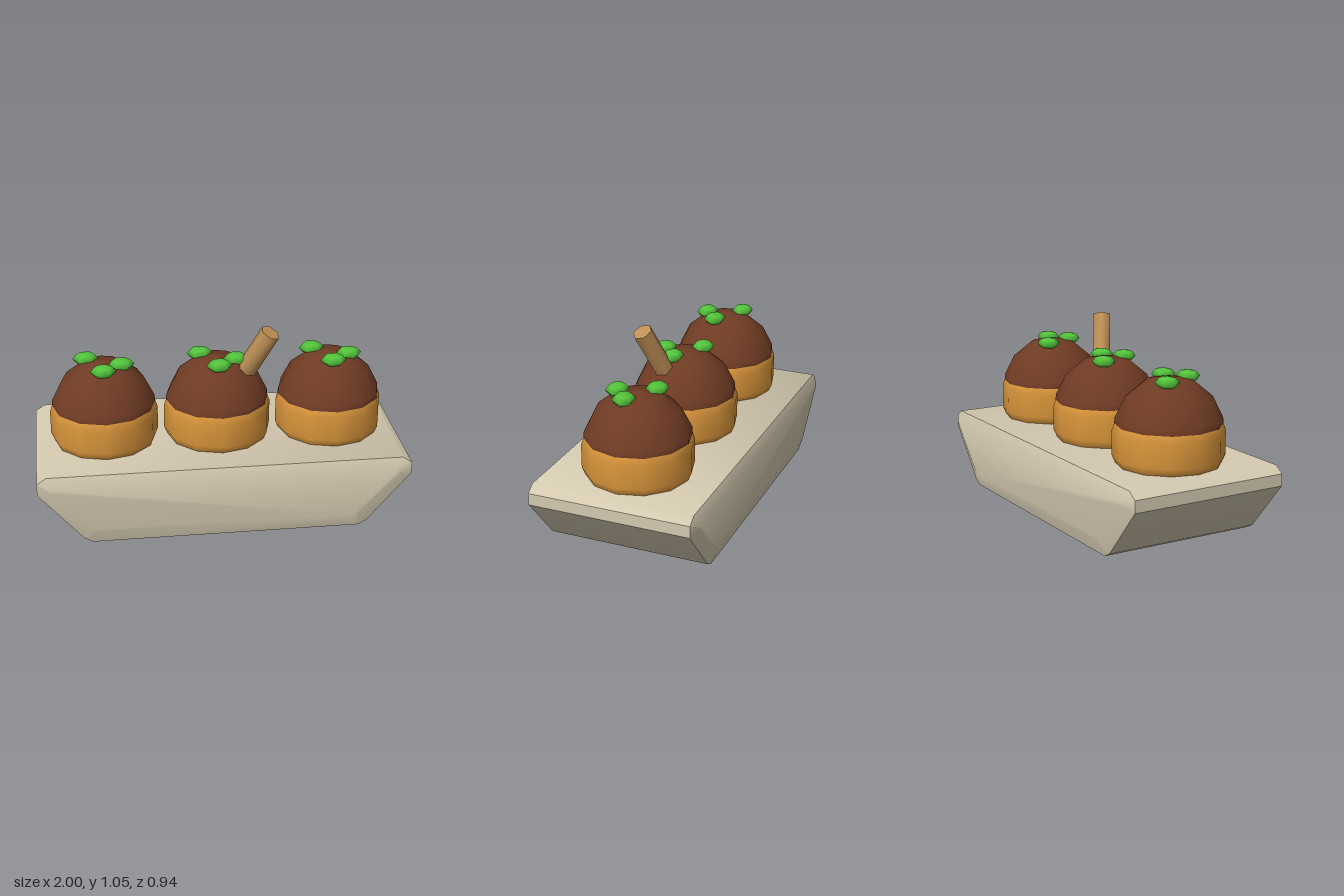
import * as THREE from 'three';
import { toCreasedNormals } from 'three/addons/utils/BufferGeometryUtils.js';

const paint = (name, color) => {
  const m = new THREE.MeshStandardMaterial({ color });
  m.name = name;
  return m;
};

function add(parent, name, geometry, material) {
  const mesh = new THREE.Mesh(geometry, material);
  mesh.name = name;
  parent.add(mesh);
  return mesh;
}

// Mirrors the right half of an outline (bottom to top) into a closed loop
const mirrored = (half) => [...half, ...half.map(([x, y]) => [-x, y]).reverse()];

// Solid tray lofted through outlines along z
function trayGeometry() {
  const rim = mirrored([[0.72, 0], [0.765, 0.025], [1, 0.3], [1, 0.365], [0.95, 0.4]]);
  const cap = mirrored([[0.69, 0.08], [0.71, 0.085], [0.93, 0.32], [0.94, 0.335], [0.92, 0.345]]);
  const rings = [[cap, -0.468], [rim, -0.442], [rim, 0.442], [cap, 0.468]];
  const n = rim.length;
  const positions = rings.flatMap(([ring, z]) => ring.flatMap(([x, y]) => [x, y, z]));
  const index = [];
  for (let i = 0; i < 3; i++) {
    for (let j = 0; j < n; j++) {
      const a = i * n + j, b = i * n + (j + 1) % n;
      index.push(a, b, b + n, a, b + n, a + n);
    }
  }
  for (let j = 1; j < n - 1; j++) {
    index.push(0, j + 1, j, 3 * n, 3 * n + j, 3 * n + j + 1);
  }
  const g = new THREE.BufferGeometry();
  g.setAttribute('position', new THREE.Float32BufferAttribute(positions, 3));
  g.setIndex(index);
  return toCreasedNormals(g, 0.7);
}

const lathe = (profile) =>
  new THREE.LatheGeometry(profile.map(([r, y]) => new THREE.Vector2(r, y)), 12);

export function createModel() {
  const group = new THREE.Group();
  const cream = paint('cream tray', 0xd4c9b0);
  const golden = paint('golden dough', 0xda963b);
  const brown = paint('brown sauce', 0x6f3b24);
  const green = paint('green garnish', 0x53c43b);
  const wood = paint('light wood', 0xbf9055);

  add(group, 'tray', trayGeometry(), cream);

  const dough = lathe([[0, 0.3], [0.22, 0.32], [0.275, 0.4], [0.293, 0.44], [0.293, 0.57], [0.28, 0.607]]);
  const sauce = lathe([[0.28, 0.605], [0.278, 0.638], [0.222, 0.75], [0.122, 0.832], [0, 0.856]]);
  const flake = new THREE.SphereGeometry(1, 6, 4).scale(0.07, 0.033, 0.06);

  // Three balls, each topped with sauce and three garnish pieces
  for (const x of [-0.62, 0, 0.62]) {
    const ball = new THREE.Group();
    ball.name = 'ball';
    ball.position.x = x;
    add(ball, 'dough', dough, golden);
    add(ball, 'sauceTop', sauce, brown);
    for (const [dx, dz] of [[-0.087, -0.07], [0.1, 0.03], [0, 0.113]]) {
      add(ball, 'garnish', flake, green).position.set(dx, 0.843, dz);
    }
    group.add(ball);
  }

  // Hexagonal pick leaning out of the middle ball
  const start = new THREE.Vector3(0.125, 0.73, 0.043);
  const end = new THREE.Vector3(0.27, 1.025, 0.129);
  const along = end.clone().sub(start);
  const stick = toCreasedNormals(new THREE.CylinderGeometry(0.055, 0.055, along.length(), 6), 1.2);
  const pick = add(group, 'pick', stick, wood);
  pick.position.copy(start).add(end).multiplyScalar(0.5);
  pick.quaternion.setFromUnitVectors(new THREE.Vector3(0, 1, 0), along.normalize());

  return group;
}
